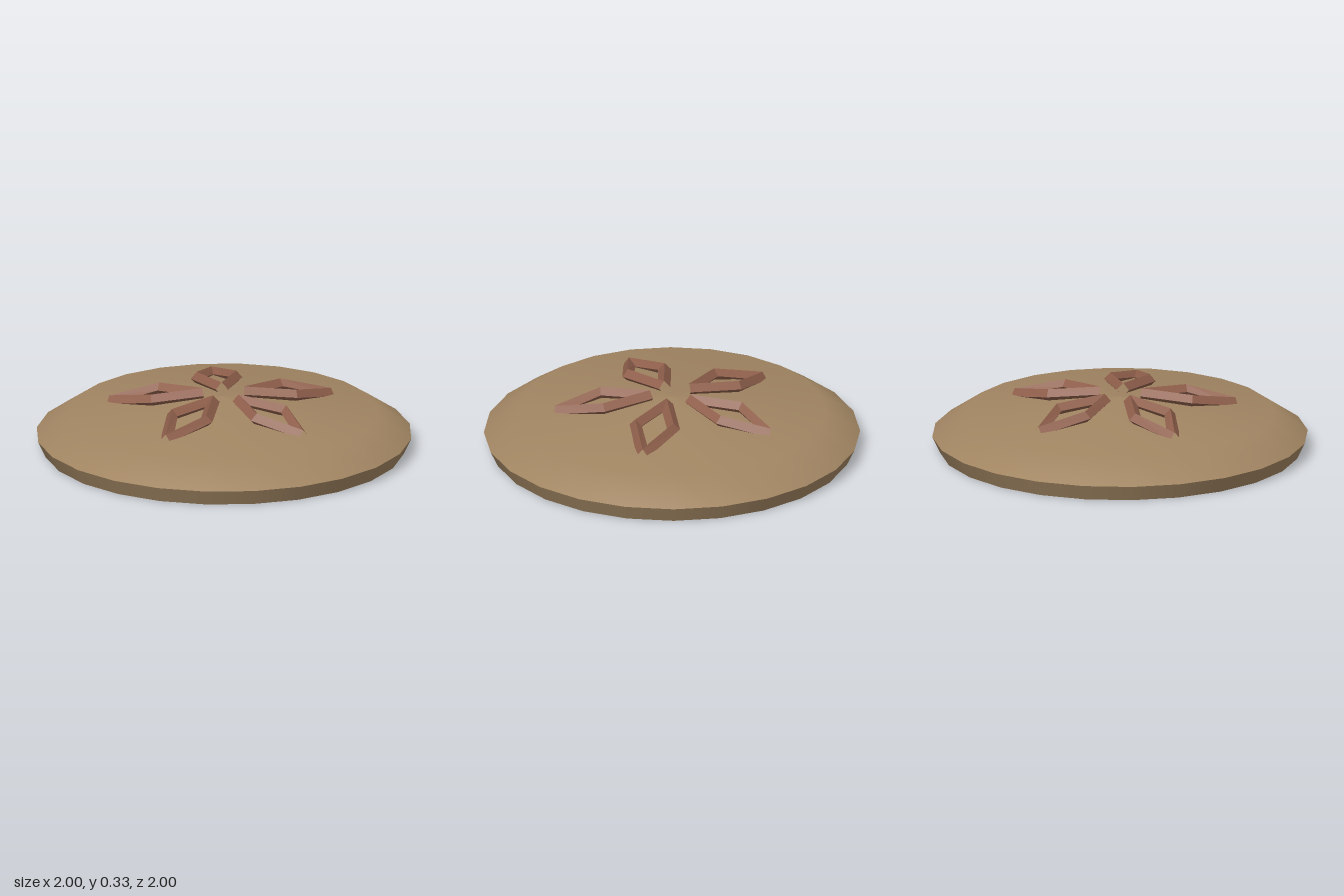
import * as THREE from 'three';

const tan = new THREE.MeshStandardMaterial({ color: 0xa18562 });
tan.name = 'tan shell';
const russet = new THREE.MeshStandardMaterial({ color: 0x8f5f4b, flatShading: true });
russet.name = 'russet petals';

// Lathed band of the disc, profile running from the underside to the crown
function band(name, points) {
  const profile = points.map(([r, y]) => new THREE.Vector2(r, y));
  const mesh = new THREE.Mesh(new THREE.LatheGeometry(profile, 24), tan);
  mesh.name = name;
  return mesh;
}

// One bent, open-ended square bar; side is +1 or -1
function petalBar(side) {
  const path = new THREE.CatmullRomCurve3([
    new THREE.Vector3(0.115, 0.295, 0),
    new THREE.Vector3(0.4, 0.27, side * 0.105),
    new THREE.Vector3(0.615, 0.22, 0),
  ]);
  // Two straight lengths meeting at the widest point of the petal
  const mesh = new THREE.Mesh(new THREE.TubeGeometry(path, 2, 0.035, 4, false), russet);
  mesh.name = side > 0 ? 'petalBarA' : 'petalBarB';
  return mesh;
}

export function createModel() {
  const model = new THREE.Group();
  model.name = 'flowerDisc';

  // Disc: flat underside, flared rim and shallow domed top
  model.add(band('underside', [[0, 0], [0.96, 0]]));
  model.add(band('rim', [[0.96, 0], [1, 0.085]]));
  model.add(band('domedTop', [[1, 0.085], [0.82, 0.205], [0, 0.29]]));

  // Five raised petal outlines
  for (let i = 0; i < 5; i++) {
    const petal = new THREE.Group();
    petal.name = `petal${i + 1}`;
    petal.add(petalBar(1), petalBar(-1));
    petal.rotation.y = (i * Math.PI * 2) / 5;
    model.add(petal);
  }
  return model;
}
